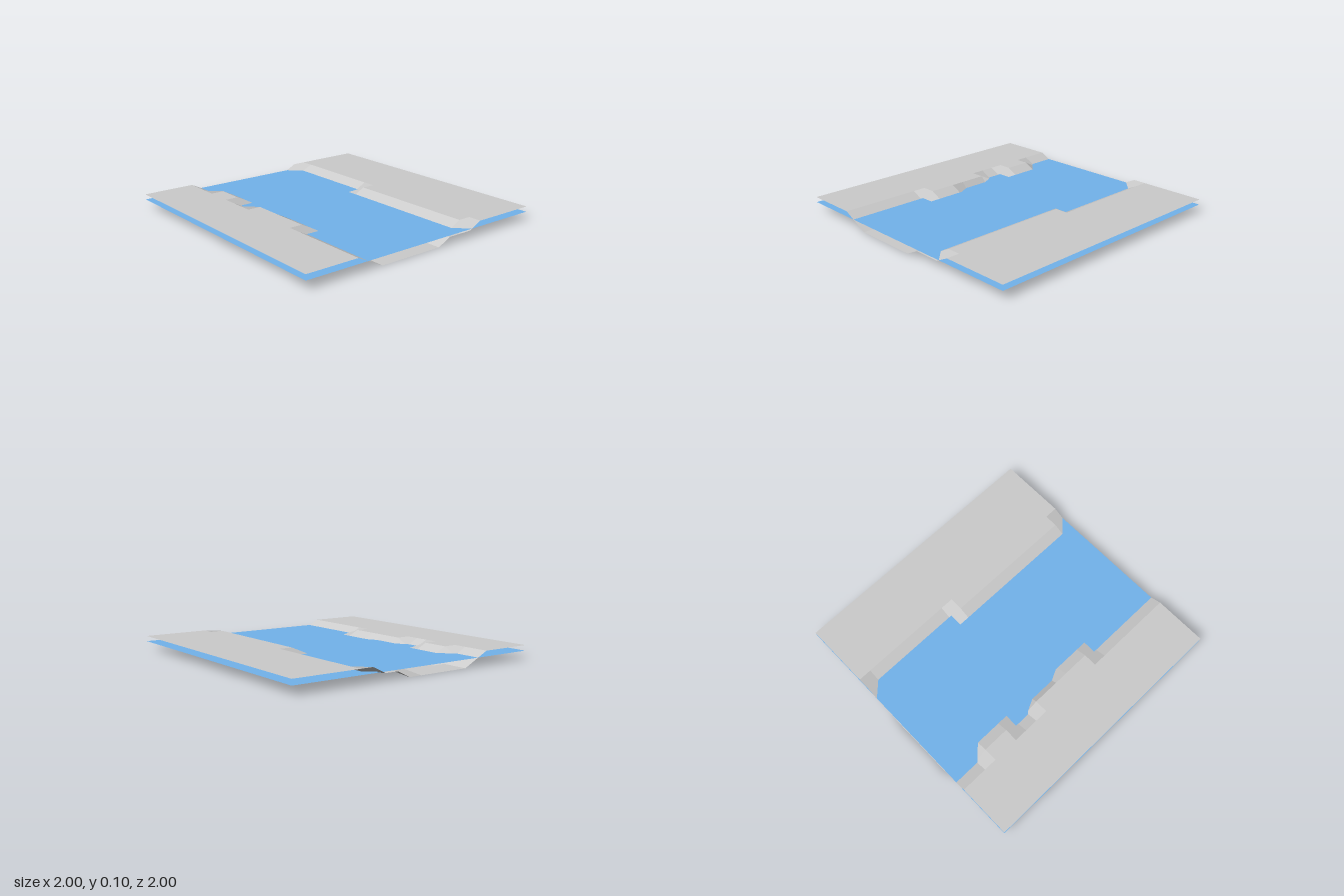
import * as THREE from 'three';

const N = 20, STEP = 0.1, LEVEL = 0.05;

// Terrain levels (0 bed, 1 shelf, 2 bank top) along x for each row of z, in tenths.
const flat = (level) => String(level).repeat(N + 1);
const rows = {
  '-4': '211111111222222222221',
  '-3': flat(1),
  '-2': flat(1),
  '-1': '011100000000000000000',
  0: flat(0), 1: flat(0), 2: flat(0), 3: flat(0),
  4: '000111110001111000000',
  5: '111222112222221111111',
};

function corner(i, j) {
  const row = rows[j - N / 2] ?? flat(2);
  return new THREE.Vector3(-1 + i * STEP, Number(row[i]) * LEVEL, -1 + j * STEP);
}

// Height grid with one flat normal per square
function terrainGeometry() {
  const position = [], normal = [];
  for (let j = 0; j < N; j++) {
    for (let i = 0; i < N; i++) {
      const a = corner(i, j), b = corner(i, j + 1);
      const c = corner(i + 1, j + 1), d = corner(i + 1, j);
      const n = c.clone().sub(a).cross(d.clone().sub(b)).normalize();
      for (const p of [a, b, d, b, c, d]) {
        position.push(p.x, p.y, p.z);
        normal.push(n.x, n.y, n.z);
      }
    }
  }
  const geometry = new THREE.BufferGeometry();
  geometry.setAttribute('position', new THREE.Float32BufferAttribute(position, 3));
  geometry.setAttribute('normal', new THREE.Float32BufferAttribute(normal, 3));
  return geometry;
}

export function createModel() {
  const model = new THREE.Group();
  model.name = 'riverSection';

  // Banks, shelves and river bed
  const terrain = new THREE.Mesh(
    terrainGeometry(),
    new THREE.MeshStandardMaterial({ color: 0xcccccc, side: THREE.DoubleSide })
  );
  terrain.name = 'riverBanks';

  // Water sheet
  const water = new THREE.Mesh(
    new THREE.PlaneGeometry(2, 2).rotateX(-Math.PI / 2),
    new THREE.MeshStandardMaterial({ color: 0x72b3ec, side: THREE.DoubleSide })
  );
  water.name = 'water';
  water.position.y = 0.06;

  model.add(terrain, water);
  return model;
}
